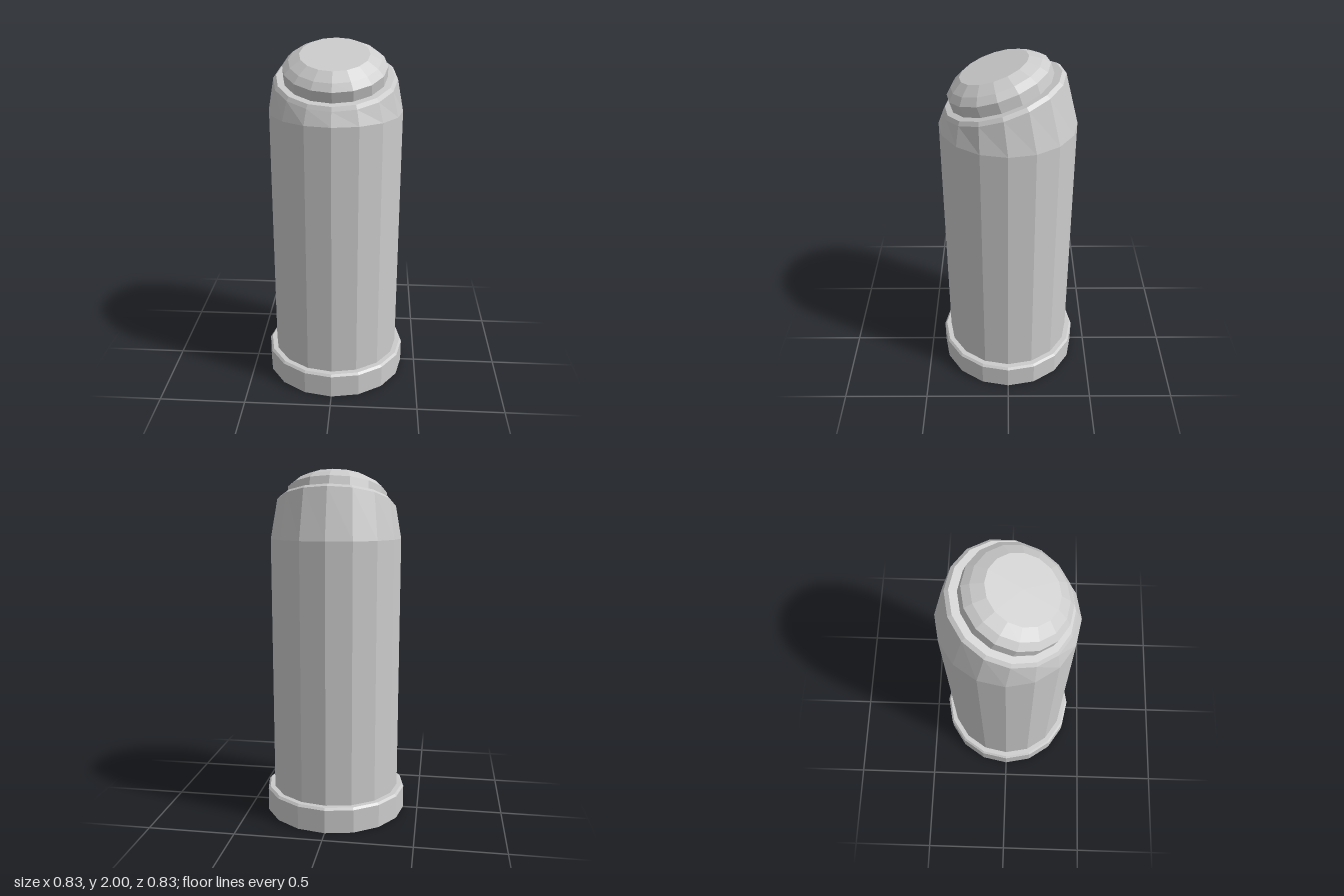
import * as THREE from 'three';

const SIDES = 16;
const TILT = THREE.MathUtils.degToRad(18);
const material = new THREE.MeshStandardMaterial({ color: 0xcccccc, flatShading: true });

// Faceted solid of revolution from [radius, height] pairs, bottom to top
function lathe(profile) {
  return new THREE.LatheGeometry(profile.map(([r, y]) => new THREE.Vector2(r, y)), SIDES);
}

function part(name, geometry) {
  const mesh = new THREE.Mesh(geometry, material);
  mesh.name = name;
  return mesh;
}

// Straight column whose last rings lean forward to make the slanted shoulder
function bodyGeometry() {
  const profile = [[0.374, 0.14], [0.374, 1.62], [0.34, 1.8], [0.323, 1.818], [0, 1.818]];
  const geometry = lathe(profile);
  const pos = geometry.attributes.position;
  const v = new THREE.Vector3();
  const axis = new THREE.Vector3(1, 0, 0);
  for (let i = 0; i < pos.count; i++) {
    const ring = i % profile.length;
    if (ring < 2) continue;
    const height = profile[ring][1];
    v.fromBufferAttribute(pos, i).setY(0).applyAxisAngle(axis, TILT);
    pos.setXYZ(i, v.x, v.y + height, v.z + 0.022 + (height - 1.8) * Math.tan(TILT));
  }
  geometry.computeVertexNormals();
  return geometry;
}

export function createModel() {
  const group = new THREE.Group();
  group.name = 'slantedPost';

  // Foot with a small bevel on its upper rim
  group.add(part('base', lathe([[0, 0], [0.415, 0], [0.415, 0.135], [0.403, 0.147], [0, 0.147]])));

  group.add(part('body', bodyGeometry()));

  // Domed button set square to the slanted top
  const cap = part('cap', lathe([[0.285, -0.005], [0.285, 0.068], [0.251, 0.102], [0.19, 0.138], [0, 0.138]]));
  cap.position.set(0, 1.81, 0.03);
  cap.rotation.x = TILT;
  group.add(cap);

  return group;
}
